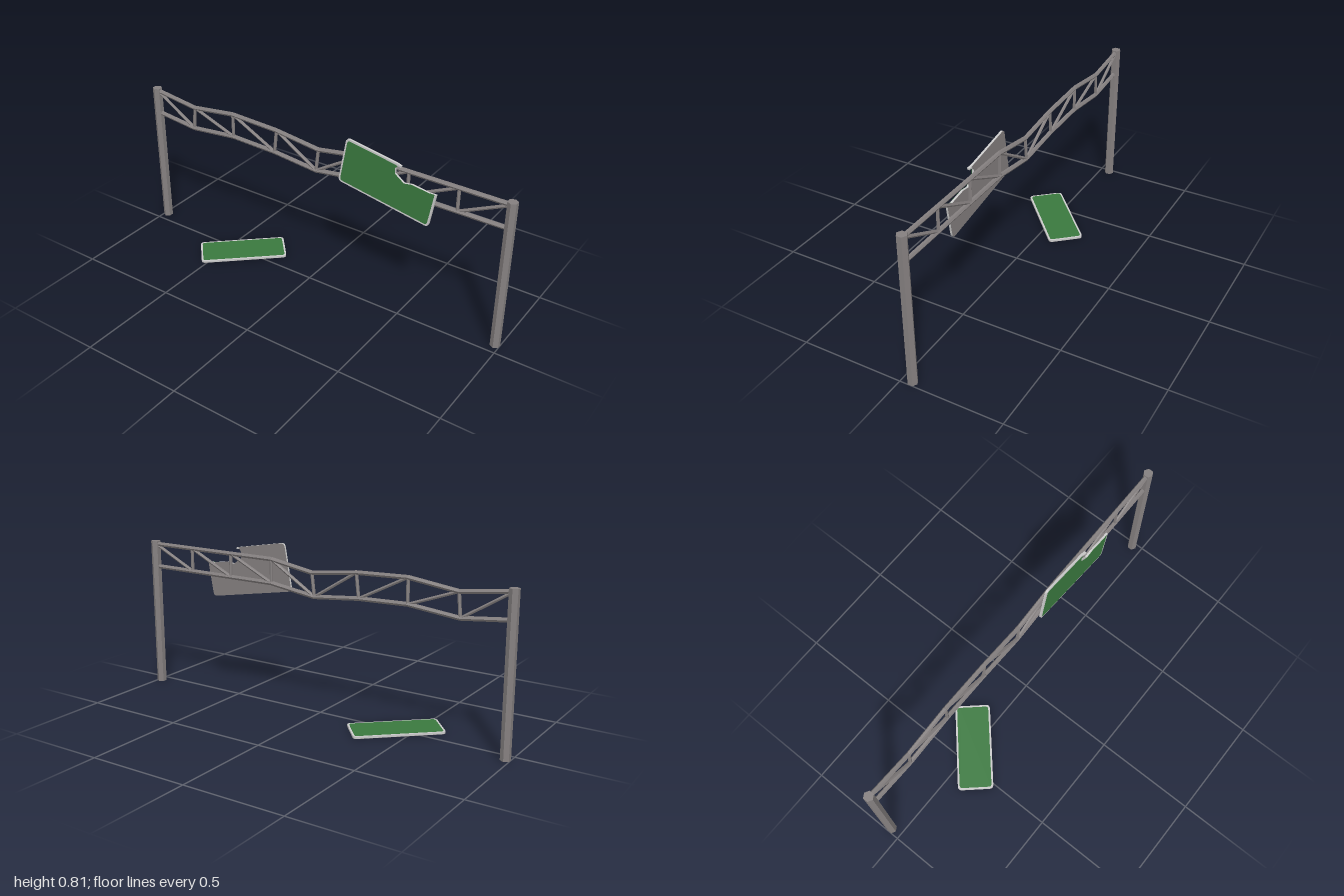
import * as THREE from 'three';

const steel = new THREE.MeshStandardMaterial({ color: 0x858080, flatShading: true });
const frameGrey = new THREE.MeshStandardMaterial({ color: 0xcccccc, flatShading: true });
const green = new THREE.MeshStandardMaterial({ color: 0x3a7a3f, flatShading: true });

const POST_X = 0.979, POST_H = 0.752, Z = -0.052;

function add(parent, name, geometry, material) {
  const mesh = new THREE.Mesh(geometry, material);
  mesh.name = name;
  parent.add(mesh);
  return mesh;
}

// Six-sided bar between two points of the truss plane
function bar(parent, name, a, b, radius) {
  const from = new THREE.Vector3(a[0], a[1], Z), to = new THREE.Vector3(b[0], b[1], Z);
  const dir = to.clone().sub(from);
  const mesh = add(parent, name, new THREE.CylinderGeometry(radius, radius, dir.length(), 6), steel);
  mesh.position.copy(from).add(to).multiplyScalar(0.5);
  mesh.quaternion.setFromUnitVectors(new THREE.Vector3(0, 1, 0), dir.normalize());
}

// Rounded rectangle; a list of break points replaces the upper right corner
function panelShape(w, h, r, breakPoints) {
  const x = w / 2, y = h / 2, s = new THREE.Shape();
  s.moveTo(-x + r, -y);
  s.lineTo(x - r, -y);
  s.quadraticCurveTo(x, -y, x, -y + r);
  if (breakPoints) {
    // clamp to the panel so that the inset face keeps its border
    [...breakPoints].reverse().forEach(([px, py]) => s.lineTo(Math.min(px, x), Math.min(py, y)));
  } else {
    s.lineTo(x, y - r);
    s.quadraticCurveTo(x, y, x - r, y);
  }
  s.lineTo(-x + r, y);
  s.quadraticCurveTo(-x, y, -x, y - r);
  s.lineTo(-x, -y + r);
  s.quadraticCurveTo(-x, -y, -x + r, -y);
  return s;
}

// Sign panel in the xy plane, facing +z, with its back at z = 0
function signPanel(name, w, h, breakPoints) {
  const g = new THREE.Group();
  g.name = name;
  const slab = (part, shape, z, depth, mat) => {
    const geo = new THREE.ExtrudeGeometry(shape, { depth, bevelEnabled: false, curveSegments: 4 });
    add(g, part, geo, mat).position.z = z;
  };
  const outer = panelShape(w, h, 0.02, breakPoints);
  slab('signBack', outer, 0, 0.001, steel);
  slab('signFrame', outer, 0.001, 0.01, frameGrey);
  slab('signFace', panelShape(w - 0.018, h - 0.018, 0.014, breakPoints), 0.011, 0.001, green);
  return g;
}

export function createModel() {
  const model = new THREE.Group();

  // Posts
  for (const side of [-1, 1]) {
    const post = add(model, side > 0 ? 'leftPost' : 'rightPost',
      new THREE.CylinderGeometry(0.024, 0.024, POST_H, 6), steel);
    post.position.set(side * POST_X, POST_H / 2, Z);
  }

  // Bent truss: chords, uprights and diagonals falling towards the middle
  const truss = new THREE.Group();
  truss.name = 'truss';
  model.add(truss);
  const top = [[-POST_X, 0.738], [-0.733, 0.706], [-0.49, 0.737], [-0.227, 0.727], [0.013, 0.698],
    [0.245, 0.736], [0.49, 0.736], [0.735, 0.736], [POST_X, 0.736]];
  const bottom = [[-POST_X, 0.617], [-0.743, 0.591], [-0.49, 0.617], [-0.24, 0.609], [0, 0.585],
    [0.245, 0.62], [0.49, 0.62], [0.735, 0.62], [POST_X, 0.62]];
  for (let i = 0; i < 8; i++) {
    bar(truss, 'topChord', top[i], top[i + 1], 0.011);
    bar(truss, 'bottomChord', bottom[i], bottom[i + 1], 0.011);
    if (i > 0) bar(truss, 'upright', top[i], bottom[i], 0.008);
    if (i < 4) bar(truss, 'diagonal', top[i], bottom[i + 1], 0.008);
    else bar(truss, 'diagonal', bottom[i], top[i + 1], 0.008);
  }

  // Broken sign hanging askew on the truss
  const hanging = signPanel('hangingSign', 0.48, 0.232, [[0.035, 0.116], [0.023, 0.09], [0.029, 0.062],
    [0.08, 0.037], [0.118, 0.05], [0.204, 0.052], [0.24, 0.058]]);
  hanging.position.set(0.396, 0.662, -0.039);
  hanging.rotation.z = -0.174;
  model.add(hanging);

  // Torn end of the frame at the break
  const stub = add(hanging, 'tornFrameEnd', new THREE.BoxGeometry(0.024, 0.009, 0.012), frameGrey);
  stub.position.set(0.038, 0.111, 0.008);
  stub.rotation.y = -0.15;

  // Fallen sign lying on the ground
  const fallen = signPanel('fallenSign', 0.431, 0.175);
  fallen.position.set(-0.417, 0, 0);
  fallen.rotation.set(-Math.PI / 2, 0.73, 0, 'YXZ');
  model.add(fallen);

  return model;
}
